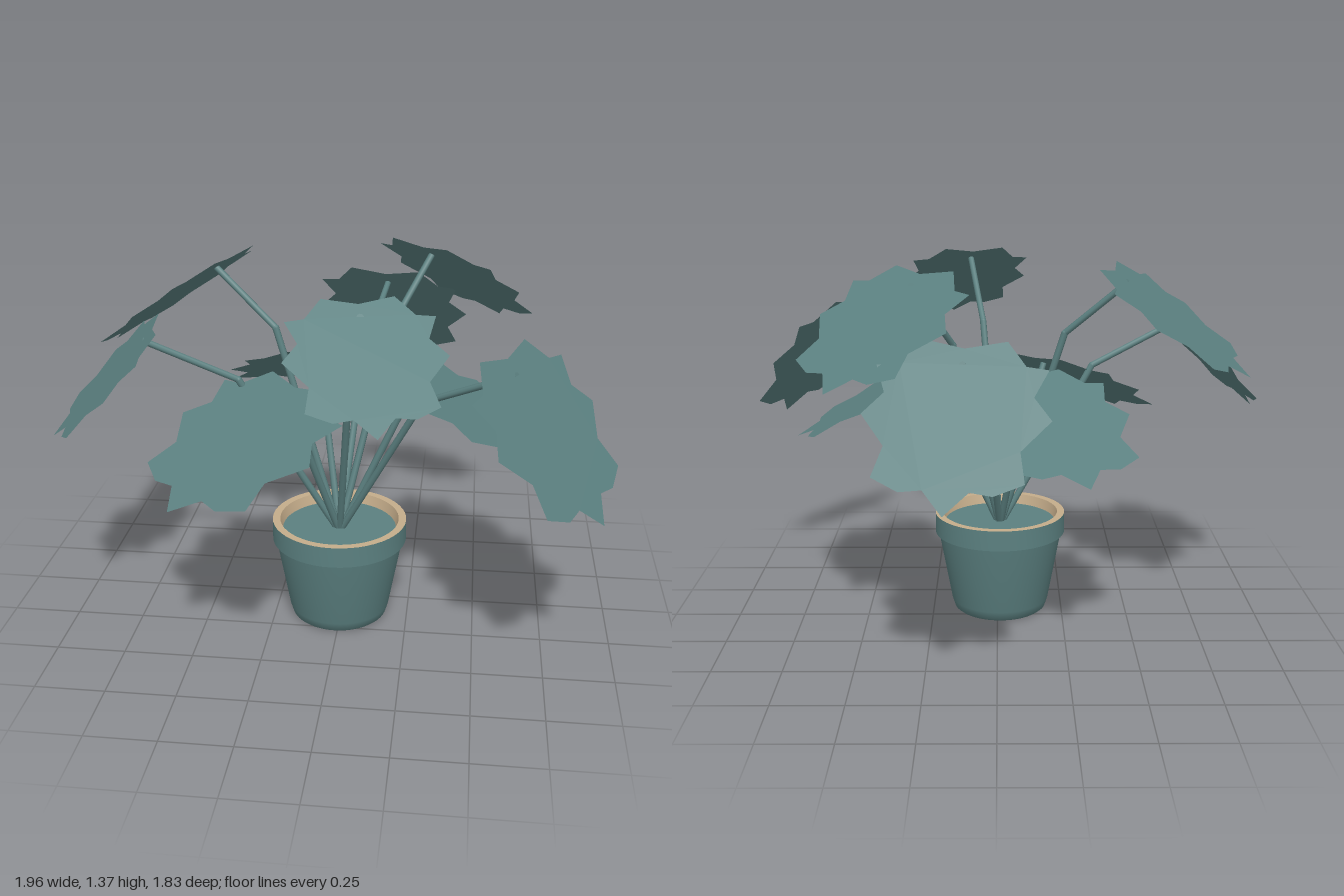
import * as THREE from 'three';
import { toCreasedNormals } from 'three/addons/utils/BufferGeometryUtils.js';

const deg = THREE.MathUtils.degToRad;

function createMaterials() {
  const make = (name, color, side) => {
    const m = new THREE.MeshStandardMaterial({ color });
    m.name = name;
    if (side !== undefined) m.side = side;
    return m;
  };
  return {
    teal: make('teal', 0x5b8080, THREE.DoubleSide),
    tan: make('tan', 0xc4ac8a, THREE.DoubleSide),
  };
}

// Jagged lobed outline: half of it is listed, the other half is mirrored.
function leafGeometry() {
  const half = [
    [0.32, 0.0], [0.235, 0.075], [0.245, 0.15], [0.2, 0.245], [0.09, 0.22],
    [-0.02, 0.31], [-0.1, 0.245], [-0.2, 0.285], [-0.21, 0.21], [-0.3, 0.14], [-0.27, 0.0],
  ];
  const mirrored = half.slice(1, -1).reverse().map(([u, v]) => [u, -v]);
  const shape = new THREE.Shape([...half, ...mirrored].map(([u, v]) => new THREE.Vector2(u, v)));
  return new THREE.ShapeGeometry(shape).rotateX(-Math.PI / 2);
}

function rod(from, to, radius, material, name) {
  const dir = to.clone().sub(from);
  const mesh = new THREE.Mesh(new THREE.CylinderGeometry(radius, radius, dir.length(), 8), material);
  mesh.position.copy(from).addScaledVector(dir, 0.5);
  mesh.quaternion.setFromUnitVectors(new THREE.Vector3(0, 1, 0), dir.normalize());
  mesh.name = name;
  return mesh;
}

function lathe(points, material, name) {
  const g = new THREE.LatheGeometry(points.map(([r, y]) => new THREE.Vector2(r, y)), 48);
  const mesh = new THREE.Mesh(toCreasedNormals(g, deg(35)), material);
  mesh.name = name;
  return mesh;
}

export function createModel() {
  const { teal, tan } = createMaterials();
  const model = new THREE.Group();
  model.name = 'pottedPlant';
  const plant = new THREE.Group();
  plant.name = 'plant';
  plant.position.set(-0.01, 0, 0.105);
  model.add(plant);

  // Pot
  plant.add(
    lathe([[0, 0], [0.168, 0], [0.178, 0.008], [0.188, 0.04], [0.238, 0.315]], teal, 'potBody'),
    lathe([[0.25, 0.312], [0.25, 0.39]], teal, 'potRim'),
    lathe([[0.25, 0.39], [0.222, 0.39], [0.21, 0.345]], tan, 'rimLip'),
    lathe([[0.236, 0.312], [0.25, 0.312]], tan, 'rimUnderside'),
  );
  const soil = new THREE.Mesh(new THREE.CircleGeometry(0.215, 48).rotateX(-Math.PI / 2), teal);
  soil.position.y = 0.352;
  soil.name = 'soil';
  plant.add(soil);

  // Leaves: direction x, direction z, radius, height, tilt, size, bend radius, bend height
  const leaves = [
    [0.14, -0.825, 0.84, 0.95, 50, 0.98, 0.35, 0.95],
    [0.41, -0.48, 0.63, 1.19, 37, 0.97, 0.26, 1.08],
    [0.5, 0.01, 0.5, 0.84, 29, 0.98, 0.22, 0.82],
    [-0.19, -0.44, 0.48, 0.84, 29, 0.97, 0.21, 0.82],
    [-0.63, -0.19, 0.66, 1.17, 36, 1.04, 0.25, 1.1],
    [-0.8, 0.17, 0.82, 0.97, 46, 0.9, 0.36, 0.95],
    [-0.3, 0.36, 0.47, 0.83, 27, 1.07, 0.2, 0.8],
    [0.73, 0.42, 0.84, 0.93, 52, 1.04, 0.35, 0.93],
    [0.15, 0.6, 0.62, 1.21, 37, 0.83, 0.27, 1.09],
  ];
  const geometry = leafGeometry();
  for (const [dx, dz, r, y, tilt, size, bendR, bendY] of leaves) {
    const stalk = new THREE.Group();
    stalk.name = 'leafStalk';
    stalk.rotation.y = Math.atan2(-dz, dx);

    const leaf = new THREE.Mesh(geometry, teal);
    leaf.name = 'leaf';
    leaf.position.set(r, y, 0);
    leaf.rotation.z = -deg(tilt);
    leaf.scale.setScalar(size);

    // The stem meets the leaf near its inner end
    const back = 0.21 * size;
    const joint = new THREE.Vector3(r - back * Math.cos(deg(tilt)), y + back * Math.sin(deg(tilt)), 0);
    const bend = new THREE.Vector3(bendR, bendY, 0);
    const root = new THREE.Vector3(0, 0.33, 0);
    const knuckle = new THREE.Mesh(new THREE.SphereGeometry(0.013, 8, 6), teal);
    knuckle.position.copy(bend);
    knuckle.name = 'stemBend';
    stalk.add(
      leaf, knuckle,
      rod(root, bend, 0.013, teal, 'lowerStem'),
      rod(bend, joint, 0.012, teal, 'upperStem'),
    );
    plant.add(stalk);
  }
  return model;
}
